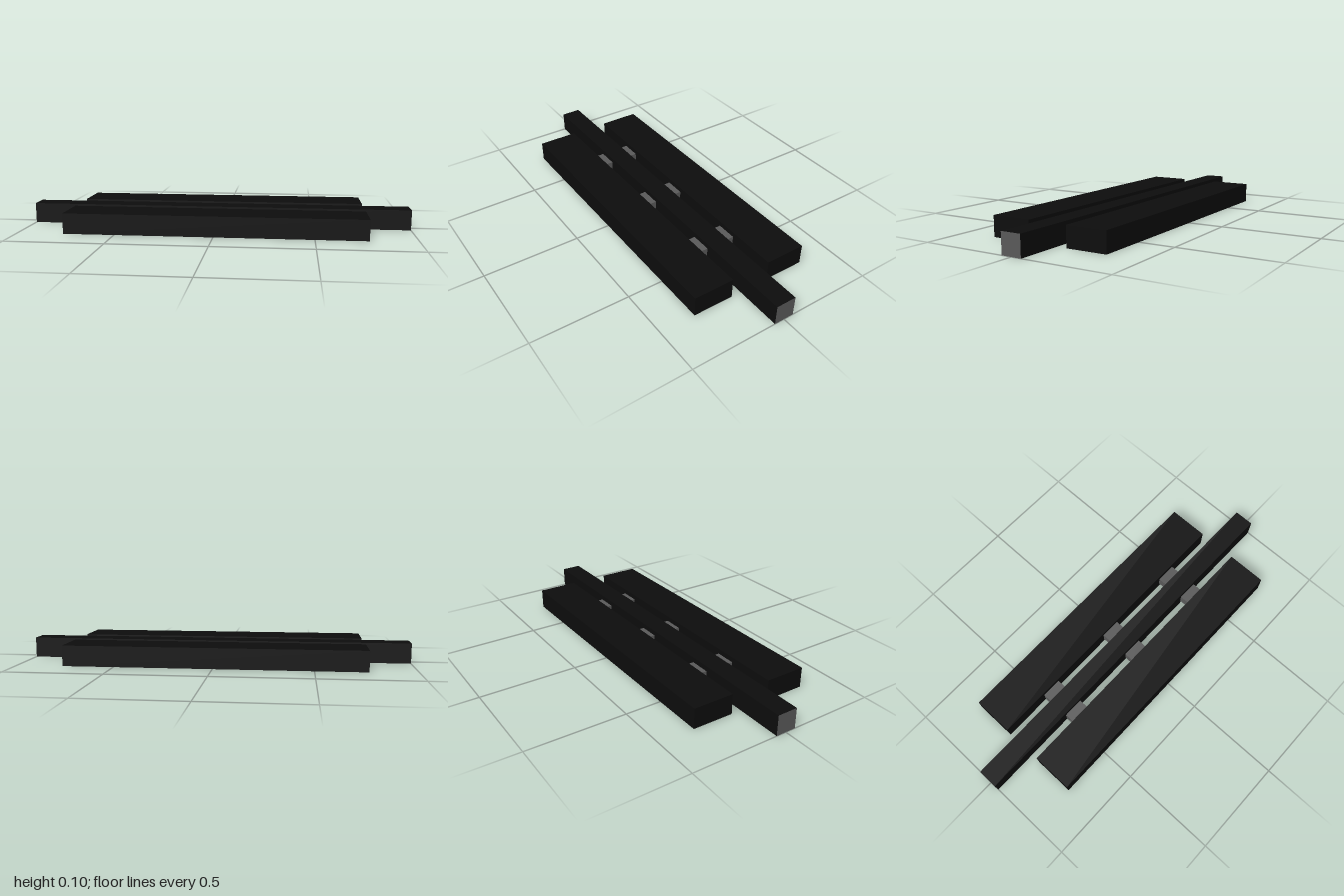
import * as THREE from 'three';

export function createModel() {
  const model = new THREE.Group();
  const black = new THREE.MeshStandardMaterial({ color: 0x0d0d0d });
  black.name = 'black';
  const grey = new THREE.MeshStandardMaterial({ color: 0x5a5a5a });
  grey.name = 'grey';

  const H = 0.105;
  const box = (name, w, h, d, x, z, material) => {
    const mesh = new THREE.Mesh(new THREE.BoxGeometry(w, h, d), material);
    mesh.name = name;
    mesh.position.set(x, H / 2, z);
    model.add(mesh);
  };

  // Long centre bar with grey end faces
  box('centreBar', 2, H, H, 0, 0, [grey, grey, black, black, black, black]);

  for (const side of [-1, 1]) {
    // Wide slab on each side
    box(side > 0 ? 'frontSlab' : 'backSlab', 1.524, H, 0.211, 0, side * 0.2105, black);
    // Short connectors between bar and slab
    for (const x of [-0.45, 0, 0.45]) {
      box('connector', 0.105, 0.0525, H / 2, x, side * 0.07875, grey);
    }
  }
  return model;
}
